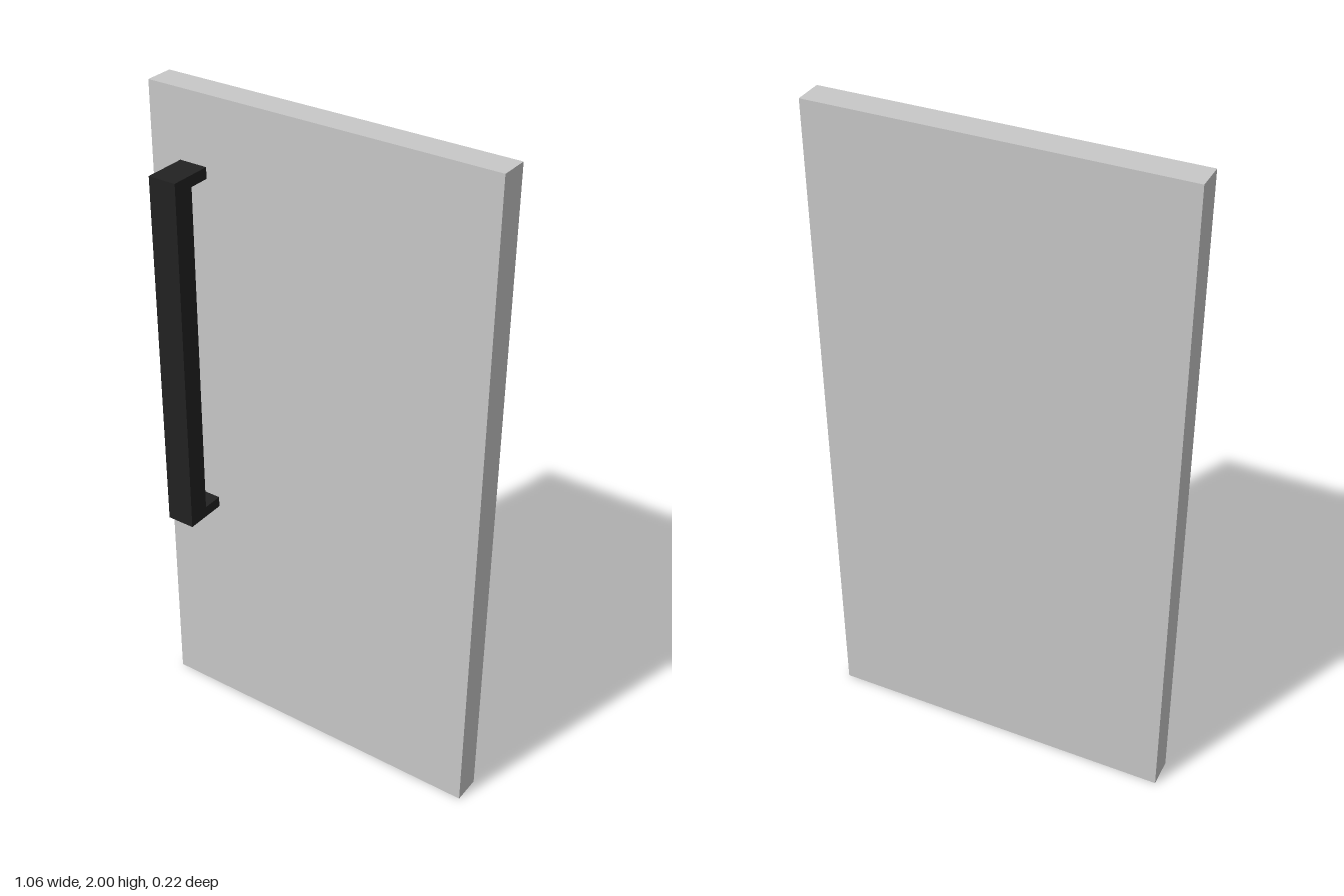
import * as THREE from 'three';

export function createModel() {
  const group = new THREE.Group();
  const panelGrey = new THREE.MeshStandardMaterial({ color: 0xc8c8c8 });
  panelGrey.name = 'panelGrey';
  const handleBlack = new THREE.MeshStandardMaterial({ color: 0x222222 });
  handleBlack.name = 'handleBlack';

  // Flat door slab
  const back = -0.108, face = -0.022;
  const panel = new THREE.Mesh(new THREE.BoxGeometry(1.056, 2, face - back), panelGrey);
  panel.name = 'doorPanel';
  panel.position.set(0, 1, (back + face) / 2);
  group.add(panel);

  // Pull handle: a C-shaped side profile (depth, height) extruded across its width
  const front = 0.108, inner = 0.041, bottom = 0.714, top = 1.8, foot = 0.033, width = 0.086;
  const profile = new THREE.Shape([
    [face, bottom], [front, bottom], [front, top], [face, top],
    [face, top - foot], [inner, top - foot], [inner, bottom + foot], [face, bottom + foot],
  ].map(([z, y]) => new THREE.Vector2(-z, y)));
  const geometry = new THREE.ExtrudeGeometry(profile, { depth: width, bevelEnabled: false });
  geometry.rotateY(Math.PI / 2);
  const handle = new THREE.Mesh(geometry, handleBlack);
  handle.name = 'pullHandle';
  handle.position.x = -0.433;
  group.add(handle);

  return group;
}
